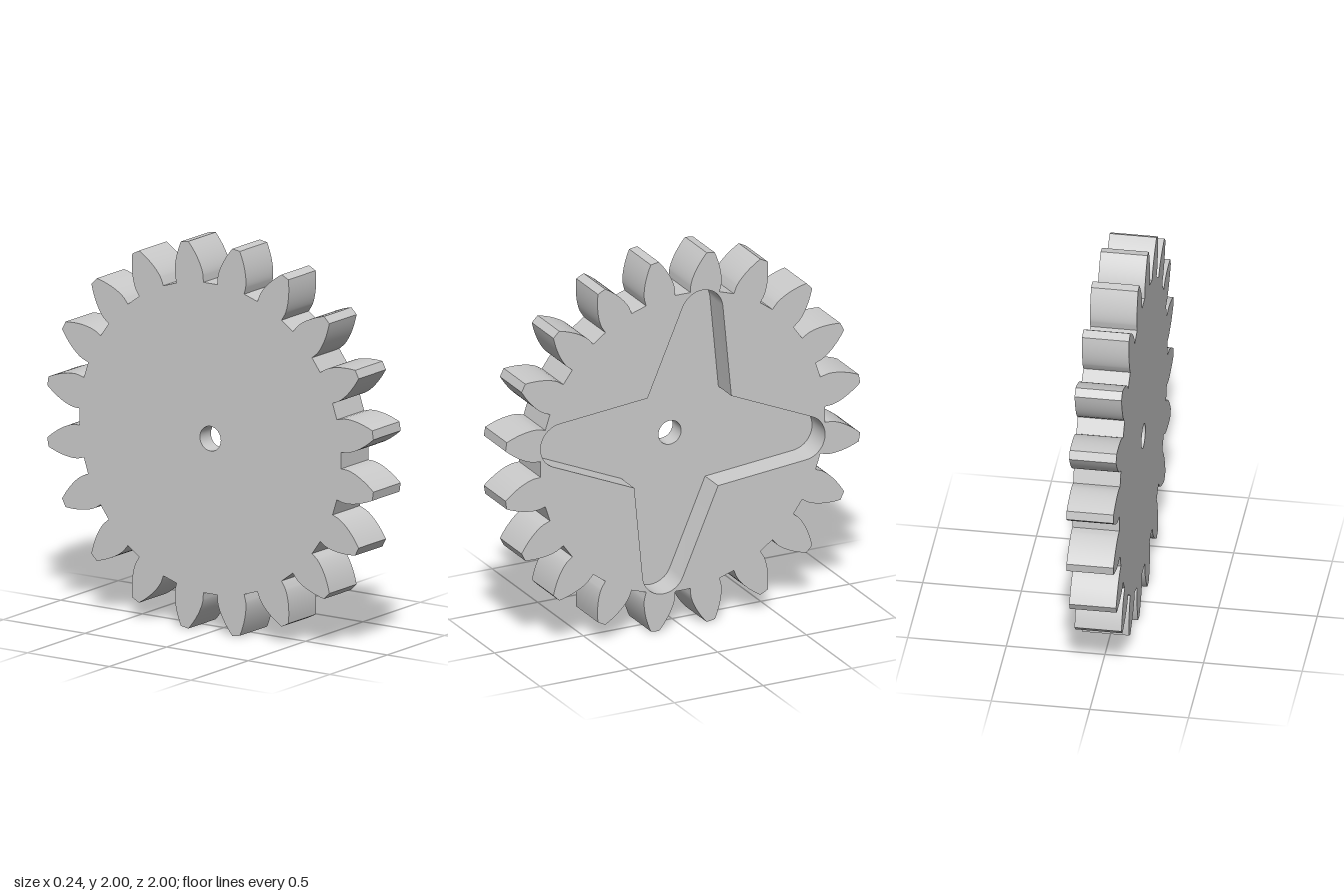
import * as THREE from 'three';
import { toCreasedNormals } from 'three/addons/utils/BufferGeometryUtils.js';

const HALF = 0.119;          // half of the gear's thickness
const FLOOR = -0.024;        // x of the pocket floor
const TEETH = 20, ROOT = 0.802, BASE = 0.836, TIP = 1.008;
const rad = THREE.MathUtils.degToRad;
const polar = (r, deg) => new THREE.Vector2(r * Math.cos(rad(deg)), r * Math.sin(rad(deg)));

// Half angle of a tooth at radius r: radial foot, then an involute flank
function halfAngle(r) {
  if (r <= BASE) return 5.95;
  const a = Math.acos(BASE / r);
  return 5.95 - THREE.MathUtils.radToDeg(Math.tan(a) - a);
}

// Counterclockwise outline of the toothed rim
function gearOutline() {
  const radii = [ROOT];
  for (let i = 0; i <= 10; i++) radii.push(BASE + (TIP - BASE) * (i / 10) ** 1.3);
  const pts = [];
  for (let k = 0; k < TEETH; k++) {
    const mid = 9 + k * 360 / TEETH;
    for (const r of radii) pts.push(polar(r, mid - halfAngle(r)));
    for (const r of [...radii].reverse()) pts.push(polar(r, mid + halfAngle(r)));
  }
  return pts;
}

// Four-armed pocket with rounded arm ends
function pocketOutline() {
  const pts = [];
  for (let k = 0; k < 4; k++) {
    const mid = 81 + 90 * k;
    pts.push(polar(0.338, mid - 45));
    const centre = polar(0.692, mid);
    for (let i = 0; i <= 18; i++) {
      pts.push(polar(0.118, mid - 75.7 + 151.4 * i / 18).add(centre));
    }
  }
  return pts;
}

function circleOutline(r, n) {
  return Array.from({ length: n }, (_, i) => polar(r, i * 360 / n));
}

// Flat face with a hole
function face(outline, hole) {
  const shape = new THREE.Shape(outline);
  shape.holes.push(new THREE.Path(hole));
  return new THREE.ShapeGeometry(shape);
}

// Wall along a closed outline, facing outward when counterclockwise
function wall(outline, x0, x1) {
  const pos = [];
  outline.forEach((a, i) => {
    const b = outline[(i + 1) % outline.length];
    pos.push(a.x, a.y, x0, b.x, b.y, x0, b.x, b.y, x1);
    pos.push(a.x, a.y, x0, b.x, b.y, x1, a.x, a.y, x1);
  });
  const geo = new THREE.BufferGeometry();
  geo.setAttribute('position', new THREE.Float32BufferAttribute(pos, 3));
  geo.computeVertexNormals();
  return toCreasedNormals(geo, rad(30)).rotateY(Math.PI / 2);
}

export function createModel() {
  const group = new THREE.Group();
  group.name = 'gear';
  const steel = new THREE.MeshStandardMaterial({ color: 0xcccccc });
  steel.name = 'light grey';

  const gear = gearOutline(), pocket = pocketOutline(), bore = circleOutline(0.064, 32);
  const add = (name, geo) => {
    const mesh = new THREE.Mesh(geo, steel);
    mesh.name = name;
    mesh.position.y = 1;
    group.add(mesh);
  };

  // Flat faces
  add('pocketedFace', face(gear, pocket).rotateY(Math.PI / 2).translate(HALF, 0, 0));
  add('plainFace', face(gear, bore).rotateY(-Math.PI / 2).translate(-HALF, 0, 0));
  add('pocketFloor', face(pocket, bore).rotateY(Math.PI / 2).translate(FLOOR, 0, 0));

  // Walls: teeth outward, pocket and bore inward
  add('toothedRim', wall(gear, -HALF, HALF));
  add('pocketWall', wall([...pocket].reverse(), FLOOR, HALF));
  add('boreWall', wall([...bore].reverse(), -HALF, FLOOR));
  return group;
}
